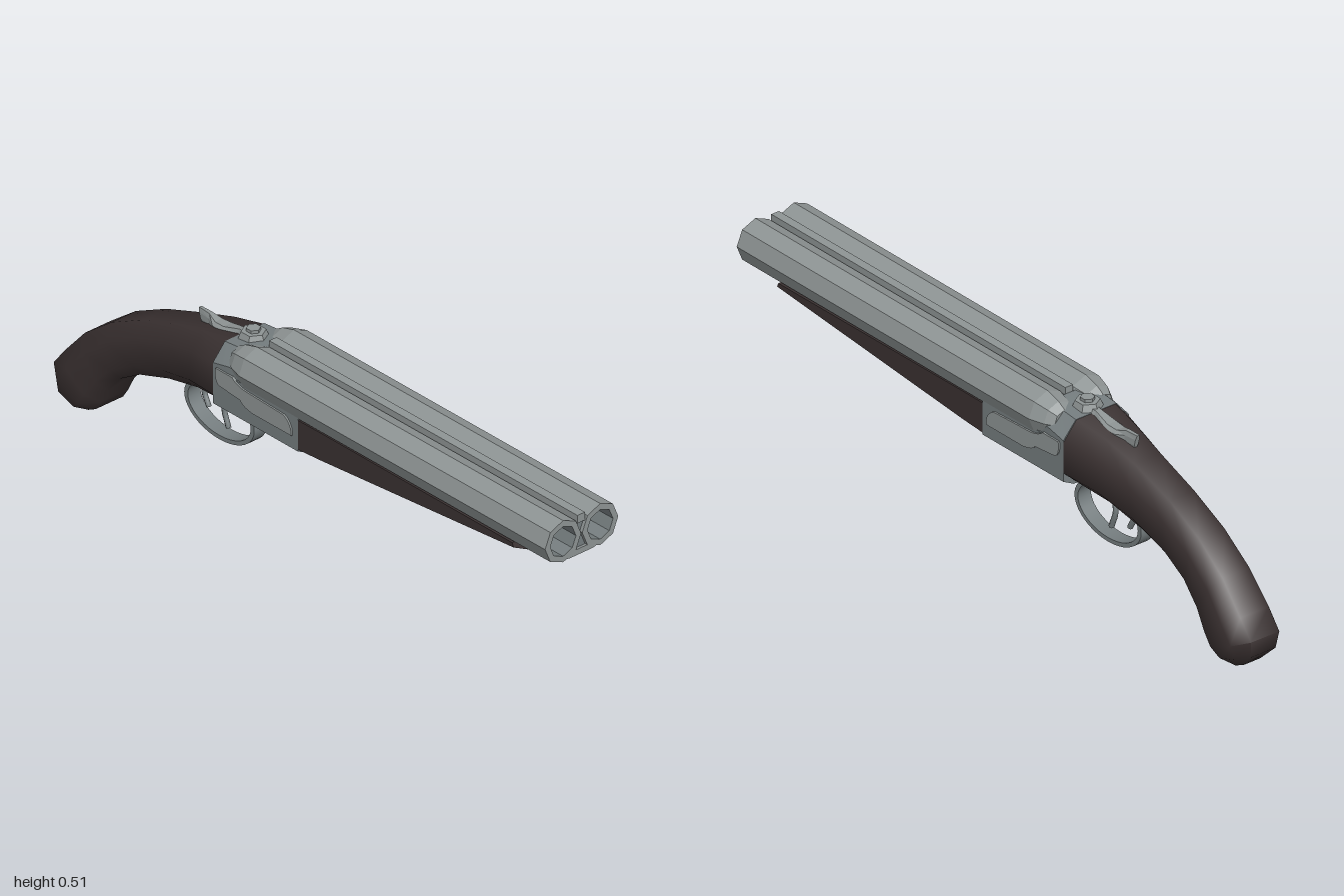
import * as THREE from 'three';
import { toCreasedNormals } from 'three/addons/utils/BufferGeometryUtils.js';

const mat = (name, color, flatShading = false) => {
  const m = new THREE.MeshStandardMaterial({ color, flatShading });
  m.name = name;
  return m;
};

// Eight-sided section: z and y of top and bottom edge, half width, corner cuts
function section(zt, top, zb, bot, hw, kx = 0.62, cutTop = 0.28, cutBot = 0.12) {
  const at = (x, t) => new THREE.Vector3(x, bot + (top - bot) * t, zb + (zt - zb) * t);
  return [at(hw * kx, 0), at(hw, cutBot), at(hw, 1 - cutTop), at(hw * kx, 1),
    at(-hw * kx, 1), at(-hw, 1 - cutTop), at(-hw, cutBot), at(-hw * kx, 0)];
}

// Skin over sections ordered from front (+z) to back
function loft(sections) {
  const n = sections[0].length, pos = [], idx = [];
  sections.forEach(s => s.forEach(p => pos.push(p.x, p.y, p.z)));
  for (let i = 0; i < sections.length - 1; i++) {
    for (let j = 0; j < n; j++) {
      const a = i * n + j, b = i * n + (j + 1) % n;
      idx.push(a, a + n, b, b, a + n, b + n);
    }
  }
  const last = (sections.length - 1) * n;
  for (let j = 1; j < n - 1; j++) {
    idx.push(0, j, j + 1, last, last + j + 1, last + j);
  }
  const g = new THREE.BufferGeometry();
  g.setAttribute('position', new THREE.Float32BufferAttribute(pos, 3));
  g.setIndex(idx);
  return g;
}

// Side outline in (-z, y), extruded across x and centred on x
function sideExtrude(shape, width, x = 0) {
  const g = new THREE.ExtrudeGeometry(shape, { depth: width, bevelEnabled: false, curveSegments: 20 });
  return g.translate(0, 0, -width / 2).rotateY(Math.PI / 2).translate(x, 0, 0);
}

export function createModel() {
  const root = new THREE.Group();
  root.name = 'doubleBarrel';
  const steel = mat('steel', 0x8e9494, true);
  const darkSteel = mat('darkSteel', 0x757d7f);
  const wood = mat('darkWood', 0x3a3131);
  const add = (name, geometry, material) => {
    const m = new THREE.Mesh(geometry, material);
    m.name = name;
    root.add(m);
    return m;
  };
  const creased = (g, a = 0.6) => toCreasedNormals(g, a);
  const lathe = pts => new THREE.LatheGeometry(pts.map(p => new THREE.Vector2(...p)), 8).rotateX(Math.PI / 2);

  // Octagonal barrels with hollow bores
  for (const [side, s] of [['left', 1], ['right', -1]]) {
    add(side + 'Barrel', lathe([[0, -0.26], [0.035, -0.26], [0.05, -0.235], [0.063, -0.19],
      [0.063, 1], [0.045, 1]]), steel).position.set(0.065 * s, 0.447, 0);
    add(side + 'Bore', creased(lathe([[0.045, 1], [0.045, 0.7], [0, 0.7]])), darkSteel)
      .position.set(0.065 * s, 0.447, 0);
  }

  // Webs joining the barrels, and the sighting rib
  const box = (w, y0, y1, z0, z1) =>
    new THREE.BoxGeometry(w, y1 - y0, z1 - z0).translate(0, (y0 + y1) / 2, (z0 + z1) / 2);
  add('barrelWeb', box(0.04, 0.395, 0.482, -0.22, 0.99), darkSteel);
  add('rib', box(0.026, 0.48, 0.504, -0.2, 0.998), steel);
  add('lowerWeb', loft([0.998, -0.2].map(z => section(z, 0.402, z, 0.385, 0.065, 0.6, 0.3, 0.3))), steel);

  // Fore-end tapering to the front
  add('foreEnd', creased(loft([
    section(0.85, 0.4, 0.87, 0.357, 0.11, 0.45, 0.1, 0.62),
    section(0.1, 0.41, 0.1, 0.297, 0.11, 0.68, 0.1, 0.16),
    section(0.0, 0.41, 0.0, 0.289, 0.11, 0.68, 0.1, 0.16),
  ]), 0.3), wood);

  // Receiver: low body under the barrels, taller standing block behind
  add('receiver', creased(loft([
    section(0.02, 0.42, 0.02, 0.286, 0.111, 0.68, 0.05, 0.14),
    section(-0.31, 0.42, -0.31, 0.287, 0.111, 0.68, 0.05, 0.14),
  ]), 0.3), darkSteel);
  add('standingBlock', creased(loft([
    section(-0.2, 0.485, -0.2, 0.38, 0.106, 0.62, 0.4),
    section(-0.25, 0.482, -0.25, 0.38, 0.111, 0.62, 0.4),
    section(-0.31, 0.476, -0.31, 0.38, 0.111, 0.62, 0.5),
  ]), 0.4), darkSteel);

  // Raised side plates
  const plate = new THREE.Shape();
  plate.moveTo(0.0, 0.345);
  plate.lineTo(0.15, 0.345);
  plate.quadraticCurveTo(0.19, 0.35, 0.2, 0.365);
  plate.lineTo(0.28, 0.372);
  plate.quadraticCurveTo(0.3, 0.38, 0.295, 0.42);
  plate.lineTo(0.23, 0.42);
  plate.quadraticCurveTo(0.21, 0.4, 0.16, 0.4);
  plate.lineTo(0.03, 0.395);
  plate.quadraticCurveTo(0.0, 0.38, 0.0, 0.345);
  for (const s of [1, -1]) add(s > 0 ? 'leftPlate' : 'rightPlate', sideExtrude(plate, 0.008, 0.112 * s), steel);

  // Curved pistol grip
  add('grip', creased(loft([
    [-0.31, 0.475, -0.31, 0.29, 0.11],
    [-0.41, 0.457, -0.43, 0.277, 0.09],
    [-0.52, 0.425, -0.555, 0.245, 0.074],
    [-0.66, 0.375, -0.67, 0.205, 0.07],
    [-0.78, 0.315, -0.745, 0.16, 0.072],
    [-0.88, 0.24, -0.79, 0.105, 0.075],
    [-0.955, 0.155, -0.815, 0.06, 0.08],
    [-0.998, 0.1, -0.835, 0.03, 0.08],
    [-0.99, 0.05, -0.87, 0.01, 0.07],
    [-0.945, 0.004, -0.9, 0.0, 0.045],
  ].map(p => section(...p, 0.6, 0.28, 0.22))), 1.1), wood);

  // Trigger guard ring with its rear tail
  const ring = new THREE.Shape().absellipse(0.384, 0.212, 0.136, 0.084, 0, Math.PI * 2);
  ring.holes.push(new THREE.Path().absellipse(0.384, 0.212, 0.122, 0.072, 0, Math.PI * 2));
  add('triggerGuard', creased(sideExtrude(ring, 0.044)), darkSteel);
  const tail = new THREE.Shape([[0.495, 0.24], [0.53, 0.237], [0.6, 0.222], [0.6, 0.24], [0.53, 0.25], [0.5, 0.256]]
    .map(p => new THREE.Vector2(...p)));
  add('guardTail', sideExtrude(tail, 0.04), darkSteel);

  // Two curved triggers
  [[[-0.35, 0.3], [-0.39, 0.22], [-0.372, 0.16]], [[-0.43, 0.29], [-0.467, 0.235], [-0.448, 0.19]]]
    .forEach((pts, i) => {
      const path = new THREE.CatmullRomCurve3(pts.map(([z, y]) => new THREE.Vector3(0, y, z)));
      add(i ? 'rearTrigger' : 'frontTrigger', new THREE.TubeGeometry(path, 8, 0.008, 6), darkSteel);
    });

  // Top lever with hexagonal pivot
  add('leverPivot', new THREE.CylinderGeometry(0.034, 0.042, 0.02, 6).translate(0, 0.487, -0.275), steel);
  add('leverScrew', new THREE.CylinderGeometry(0.02, 0.02, 0.012, 6).translate(0, 0.5, -0.275), steel);
  add('topLever', creased(loft([
    [-0.27, 0.49, -0.27, 0.46, 0.024],
    [-0.32, 0.484, -0.32, 0.45, 0.014],
    [-0.375, 0.47, -0.375, 0.44, 0.025],
    [-0.41, 0.468, -0.41, 0.438, 0.022],
    [-0.44, 0.477, -0.435, 0.432, 0.01],
    [-0.482, 0.478, -0.47, 0.435, 0.007],
  ].map(p => section(...p, 0.6, 0.3, 0.3))), 0.7), steel);

  return root;
}
